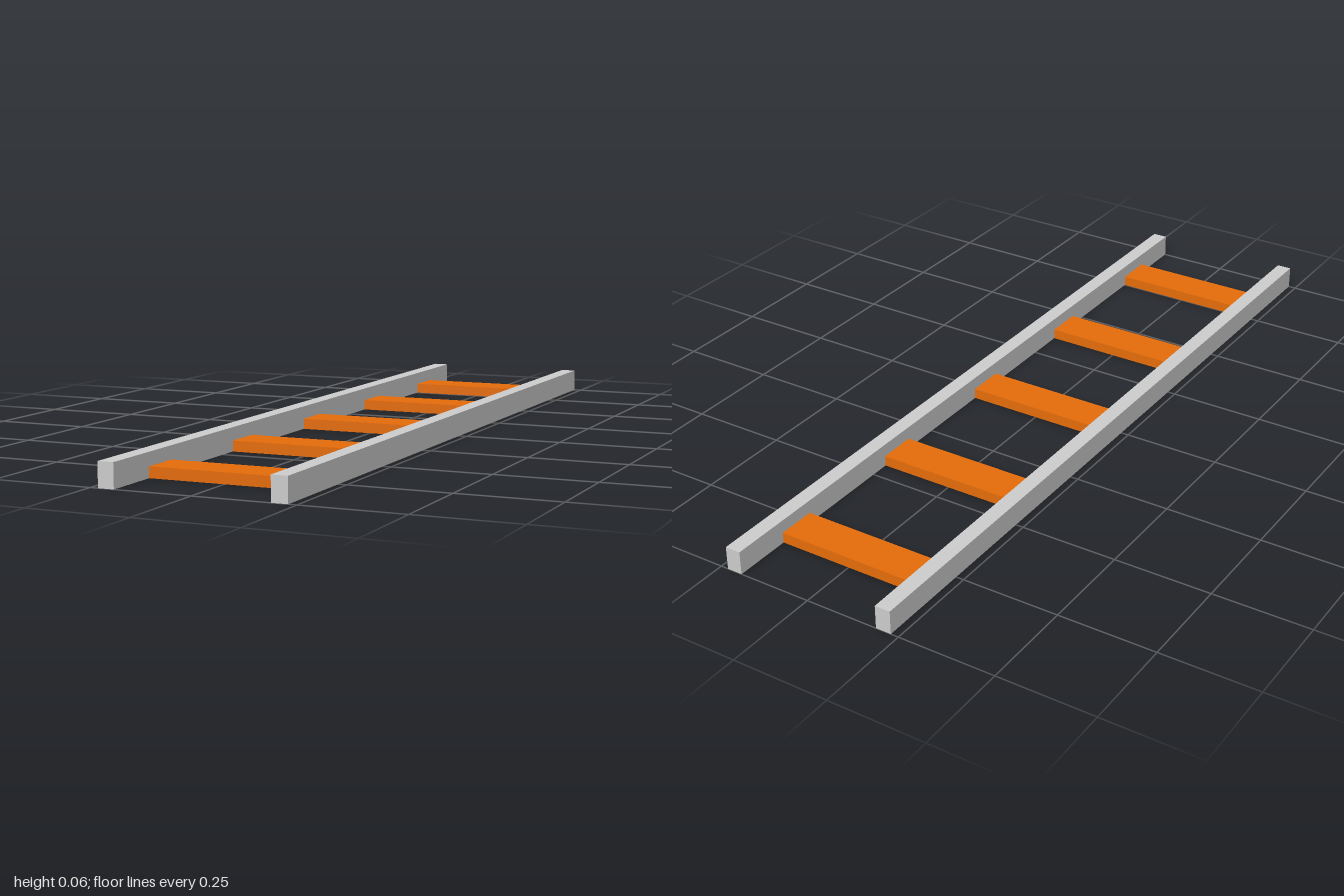
import * as THREE from 'three';

const RAIL = { width: 0.04, height: 0.06, length: 2, x: 0.21 };
const RUNG = { width: 0.38, height: 0.027, depth: 0.1, spacing: 0.4, count: 5 };

export function createModel() {
  const ladder = new THREE.Group();
  ladder.name = 'ladder';
  const grey = new THREE.MeshStandardMaterial({ color: 0xcccccc });
  const orange = new THREE.MeshStandardMaterial({ color: 0xe46c0a });

  // Box standing on the ground plane
  const addBox = (name, geometry, material, x, z) => {
    const mesh = new THREE.Mesh(geometry, material);
    mesh.name = name;
    mesh.position.set(x, geometry.parameters.height / 2, z);
    ladder.add(mesh);
  };

  // Two long side rails
  const railGeometry = new THREE.BoxGeometry(RAIL.width, RAIL.height, RAIL.length);
  addBox('leftRail', railGeometry, grey, RAIL.x, 0);
  addBox('rightRail', railGeometry, grey, -RAIL.x, 0);

  // Flat rungs, evenly spaced and flush with the underside of the rails
  const rungGeometry = new THREE.BoxGeometry(RUNG.width, RUNG.height, RUNG.depth);
  for (let i = 0; i < RUNG.count; i++) {
    addBox(`rung${i + 1}`, rungGeometry, orange, 0, (i - (RUNG.count - 1) / 2) * RUNG.spacing);
  }
  return ladder;
}
